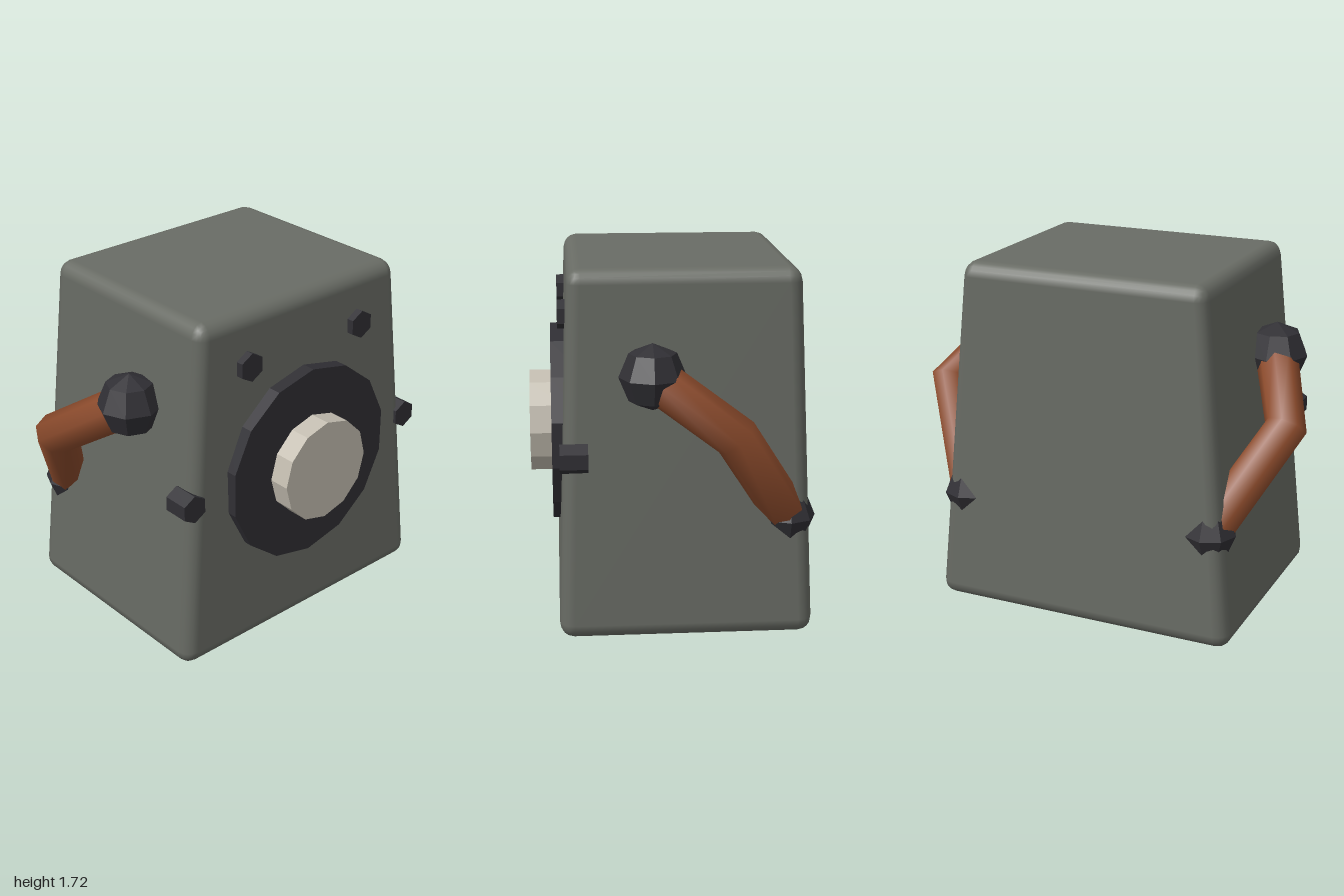
import * as THREE from 'three';
import { RoundedBoxGeometry } from 'three/addons/geometries/RoundedBoxGeometry.js';

const paint = (color, flatShading = true) => new THREE.MeshStandardMaterial({ color, flatShading });
const shell = paint(0x696c65, false);
const dark = paint(0x302f34);
const brown = paint(0x8c4b2c, false);
const cream = paint(0xc3bdb0);

function add(parent, name, geometry, material, x = 0, y = 0, z = 0) {
  const mesh = new THREE.Mesh(geometry, material);
  mesh.name = name;
  mesh.position.set(x, y, z);
  parent.add(mesh);
  return mesh;
}

// Faceted disc facing +z, with a corner at the top
function disc(radius, zBack, zFront, sides) {
  return new THREE.CylinderGeometry(radius, radius, zFront - zBack, sides)
    .rotateX(Math.PI / 2)
    .translate(0, 0, (zBack + zFront) / 2);
}

// Path made of straight pieces, for a tube with one sharp bend
class BentPath extends THREE.Curve {
  constructor(points) {
    super();
    this.points = points;
  }
  getPoint(t, target = new THREE.Vector3()) {
    const s = t * (this.points.length - 1);
    const i = Math.min(Math.floor(s), this.points.length - 2);
    return target.lerpVectors(this.points[i], this.points[i + 1], s - i);
  }
  getPointAt(u, target) { return this.getPoint(u, target); }
  getTangentAt(u, target = new THREE.Vector3()) {
    // Averaged direction at the bend
    const e = 0.01;
    const before = this.getPoint(Math.max(u - e, 0));
    return target.copy(this.getPoint(Math.min(u + e, 1))).sub(before).normalize();
  }
}

// Rounded box narrowing towards the top
function bodyGeometry() {
  const height = 1.72;
  const geometry = new RoundedBoxGeometry(1.55, height, 1.195, 2, 0.07);
  const p = geometry.attributes.position;
  for (let i = 0; i < p.count; i++) {
    const t = p.getY(i) / height + 0.5;
    p.setXYZ(i, p.getX(i) * (1 - 0.213 * t), t * height, p.getZ(i) * (1 - 0.1 * t) - 0.052);
  }
  return geometry;
}

export function createModel() {
  const model = new THREE.Group();
  model.name = 'boxBody figure';

  add(model, 'body', bodyGeometry(), shell);

  // Round front plate with raised centre
  add(model, 'frontPlate', disc(0.495, 0.4, 0.565, 14), dark, 0, 0.865, 0);
  add(model, 'frontKnob', disc(0.257, 0.5, 0.67, 12), cream, 0, 0.865, 0);

  for (const [side, label] of [[1, 'left'], [-1, 'right']]) {
    // Hexagonal bolts
    add(model, label + 'UpperBolt', disc(0.07, 0.4, 0.53, 6), dark, side * 0.35, 1.47, 0);
    add(model, label + 'SideBolt', disc(0.07, 0.4, 0.53, 6), dark, side * 0.695, 0.865, 0);

    // Arm bent back at the elbow, with shoulder and hand balls
    const arm = new THREE.Group();
    arm.name = label + 'Arm';
    const shoulder = new THREE.Vector3(side * 0.72, 1.25, 0.105);
    const elbow = new THREE.Vector3(side * 0.895, 1.01, -0.255);
    const hand = new THREE.Vector3(side * 0.635, 0.55, -0.535);
    const path = new BentPath([shoulder, elbow, hand]);
    add(arm, label + 'ArmTube', new THREE.TubeGeometry(path, 2, 0.103, 8), brown);
    add(arm, label + 'Shoulder', new THREE.SphereGeometry(0.155, 8, 4), dark, ...shoulder);
    add(arm, label + 'Hand', new THREE.SphereGeometry(0.13, 8, 4), dark, ...hand);
    model.add(arm);
  }
  return model;
}
